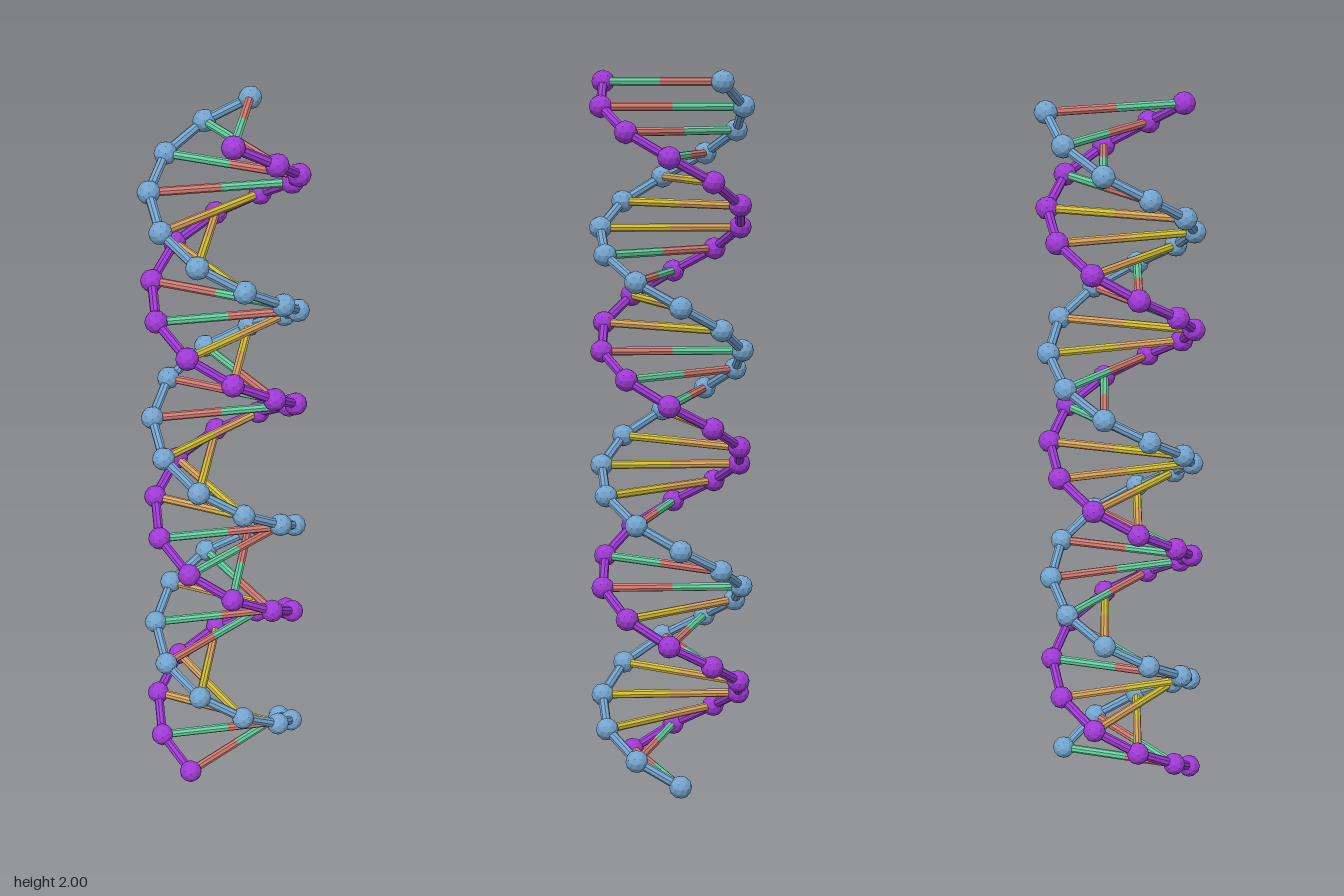
import * as THREE from 'three';

const COUNT = 30, RADIUS = 0.2, BALL = 0.032;
const STEP_Y = (2 - 2 * BALL) / (COUNT - 1);
const STEP_ANGLE = Math.PI / 5;
const GROOVE = 0.85 * Math.PI; // angle between the two strands
// base on the purple strand at each level, from the bottom up
const SEQUENCE = 'RGOOOGRYRGGGOOOOGGROYGROOYGRRG';
const PARTNER = { R: 'G', G: 'R', Y: 'O', O: 'Y' };

function material(name, color) {
  const m = new THREE.MeshStandardMaterial({ color, flatShading: true });
  m.name = name;
  return m;
}

// Cylinder between two points
function rod(name, a, b, radius, mat) {
  const dir = b.clone().sub(a);
  const mesh = new THREE.Mesh(new THREE.CylinderGeometry(radius, radius, dir.length(), 8), mat);
  mesh.name = name;
  mesh.position.copy(a).add(b).multiplyScalar(0.5);
  mesh.quaternion.setFromUnitVectors(new THREE.Vector3(0, 1, 0), dir.normalize());
  return mesh;
}

function strandPoints(offset) {
  return Array.from({ length: COUNT }, (_, i) => {
    const a = i * STEP_ANGLE + offset;
    return new THREE.Vector3(RADIUS * Math.cos(a), BALL + i * STEP_Y, RADIUS * Math.sin(a));
  });
}

// Balls joined by short links
function strand(name, points, mat) {
  const group = new THREE.Group();
  group.name = name;
  const ballGeometry = new THREE.IcosahedronGeometry(BALL, 1);
  points.forEach((p, i) => {
    const ball = new THREE.Mesh(ballGeometry, mat);
    ball.name = 'ball';
    ball.position.copy(p);
    group.add(ball);
    if (i > 0) group.add(rod('link', points[i - 1], p, 0.0135, mat));
  });
  return group;
}

export function createModel() {
  const model = new THREE.Group();
  model.name = 'doubleHelix';
  const blue = material('blue', 0x74a5cf);
  const purple = material('purple', 0xa03ad6);
  const bases = {
    R: material('coral', 0xd47c72),
    G: material('green', 0x66d1a0),
    Y: material('yellow', 0xd6c038),
    O: material('orange', 0xdba65c),
  };

  // Strands
  const bluePoints = strandPoints(0);
  const purplePoints = strandPoints(GROOVE);
  model.add(strand('blueStrand', bluePoints, blue));
  model.add(strand('purpleStrand', purplePoints, purple));

  // Two-coloured rungs
  const rungs = new THREE.Group();
  rungs.name = 'rungs';
  for (let i = 0; i < COUNT; i++) {
    const middle = bluePoints[i].clone().lerp(purplePoints[i], 0.5);
    const base = SEQUENCE[i];
    rungs.add(rod('purpleSideBase', purplePoints[i], middle, 0.012, bases[base]));
    rungs.add(rod('blueSideBase', middle, bluePoints[i], 0.012, bases[PARTNER[base]]));
  }
  model.add(rungs);
  return model;
}
